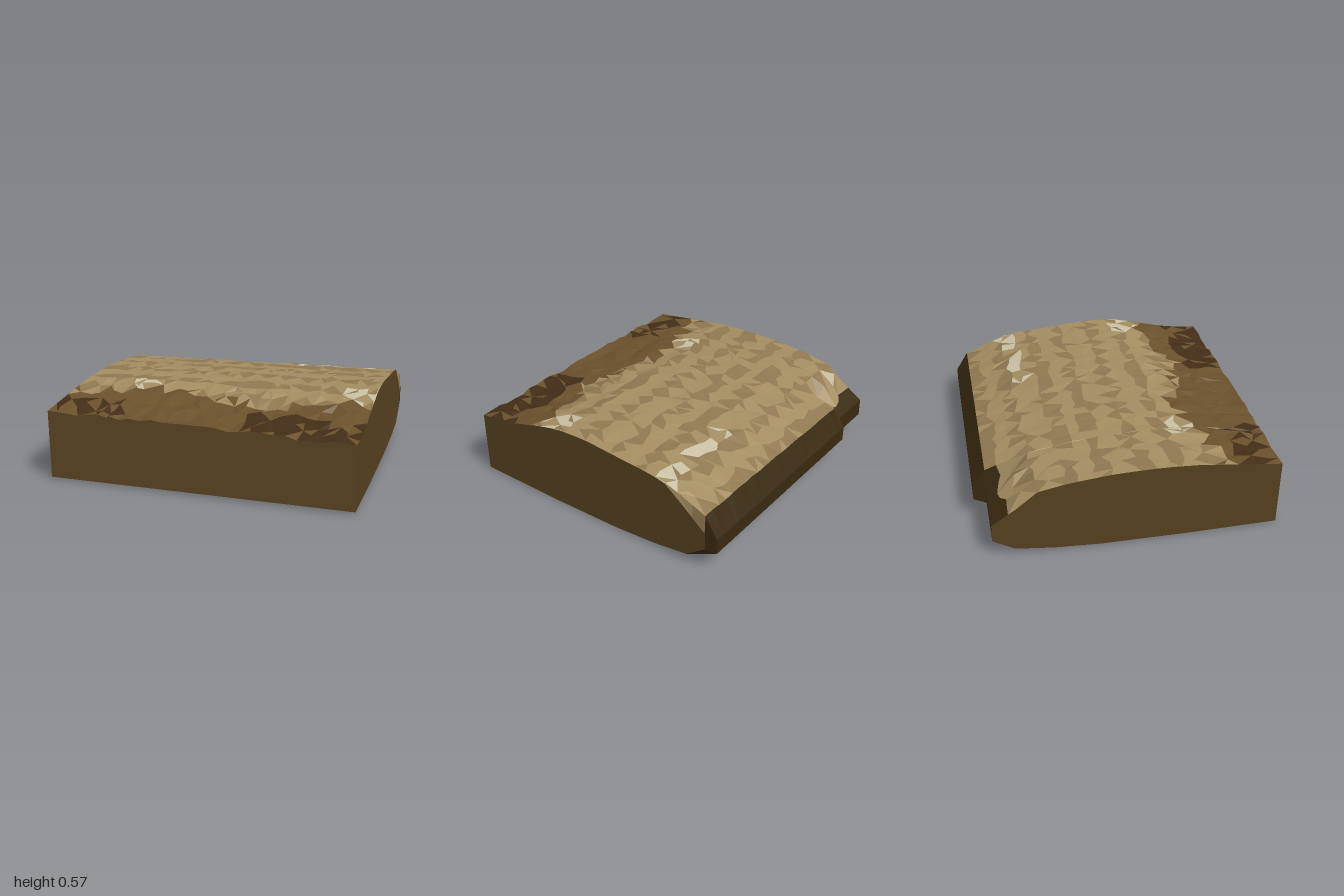
import * as THREE from 'three';

// Seeded noise in -1..1
let seed = 7;
const rnd = () => {
  seed = (seed * 16807) % 2147483647;
  return (seed / 2147483647) * 2 - 1;
};

// Piecewise linear lookup in [z, y] points with z falling
function sample(points, z) {
  for (let i = 1; i < points.length; i++) {
    const [z0, y0] = points[i - 1], [z1, y1] = points[i];
    if (z >= z1) return y0 + (y1 - y0) * Math.min(1, Math.max(0, (z0 - z) / (z0 - z1)));
  }
  return points[points.length - 1][1];
}

// Ground profiles at both ends, and the underside
const westTop = [[0.96, 0.46], [0.7, 0.49], [0.4, 0.525], [0.2, 0.535], [-0.1, 0.53], [-0.4, 0.5], [-0.6, 0.46], [-0.78, 0.4], [-0.88, 0.37]];
const eastTop = [[0.96, 0.435], [0.72, 0.46], [0.5, 0.515], [0.38, 0.548], [0.2, 0.574], [0, 0.57], [-0.25, 0.545], [-0.45, 0.53], [-0.6, 0.5], [-0.75, 0.44], [-0.88, 0.385]];
const underside = [[-0.74, 0.05], [-0.5, 0.02], [-0.2, 0.003], [0.35, 0.001], [0.96, 0.01]];
const ROWS = 20, FRONT = 0.955, CREST = -0.875, LIP = -0.96, NOTCH = -0.58;

// Closed cross-section at x: ground front to back, rim, underside back to front
function section(x, isEnd) {
  const notch = x < NOTCH - 0.001, corner = x > 0.999;
  const k = (x + 1) / 2, pts = [];
  for (let j = 0; j <= ROWS; j++) {
    let z = FRONT + (CREST - FRONT) * (j / ROWS);
    if (j > 0 && j < ROWS) z += rnd() * 0.03;
    let y = sample(westTop, z) * (1 - k) + sample(eastTop, z) * k;
    // Rougher scree in front, soft ridges on the plateau
    const rough = z > 0.35 ? 0.013 : 0.005;
    y += isEnd ? 0 : rnd() * rough + 0.003 * Math.sin(z * 28 + x * 2);
    if (notch && z < -0.7) y = Math.min(y, 0.37 + (z + 0.7) * 0.68);
    if (corner && z < -0.6) y = Math.min(y, 0.5 + (z + 0.6) * 0.86);
    const side = isEnd || j === 0 || j === ROWS || Math.abs(x - NOTCH) < 0.02;
    pts.push([x + (side ? 0 : rnd() * 0.022), Math.min(y, 0.578), z]);
  }
  const back = notch || corner ? CREST - 0.003 : LIP;
  pts.push([x, 0.25, back], [x, notch ? 0.13 : 0.15, back]);
  for (const [z, y] of underside) {
    pts.push([x, y + (z > 0.9 ? 0.007 * k : 0), Math.min(z, FRONT)]);
  }
  return pts;
}

const COLORS = {
  plateau: 0xa38c60, drySoil: 0x8f7850, paleStone: 0xc9c0a4, slope: 0x6b512c,
  darkSlope: 0x432d17, backRim: 0x38290f, frontWall: 0x5c4524, underside: 0x2e2210, sideWall: 0x55401f,
};

// Part that a ground triangle belongs to, from its middle
function groundPart(x, z) {
  const edge = 0.53 + 0.06 * Math.sin(x * 5) + rnd() * 0.05;
  if (x < NOTCH && z < -0.78) return 'backRim';
  if (z > edge) {
    const dark = (x < -0.55 && z > 0.72 && z < 0.9) || (x > 0.25 && z > 0.66);
    return dark && rnd() > -0.5 ? 'darkSlope' : 'slope';
  }
  const pale = Math.hypot(x + 0.55, z - 0.46) < 0.14 || Math.hypot(x - 0.88, z - 0.33) < 0.13
    || (x > 0.25 && Math.abs(z + 0.53 + (x - 0.3) * 0.08) < 0.05);
  if (pale && rnd() > -0.2) return 'paleStone';
  return Math.sin(z * 28) + rnd() * 0.7 > 0.4 ? 'drySoil' : 'plateau';
}

function makeMesh(name, geometry) {
  const material = new THREE.MeshStandardMaterial({ color: COLORS[name], flatShading: true });
  const mesh = new THREE.Mesh(geometry, material);
  mesh.name = name;
  return mesh;
}

export function createModel() {
  seed = 7;
  const group = new THREE.Group();
  group.name = 'terrainSlab';

  // Columns, with a sharp step at the notch and the rear corner
  const xs = [-1, -0.93, -0.86, -0.79, -0.72, -0.65, NOTCH - 0.005];
  for (let i = 0; i <= 22; i++) xs.push(NOTCH + (0.993 - NOTCH) * (i / 22));
  xs.push(1);
  const rings = xs.map((x) => section(x, Math.abs(x) > 0.99));

  // Skin between neighbouring columns, sorted into parts
  const parts = {};
  const add = (name, ...corners) => (parts[name] ??= []).push(...corners.flat());
  const n = rings[0].length;
  for (let i = 0; i < rings.length - 1; i++) {
    for (let j = 0; j < n; j++) {
      const m = (j + 1) % n;
      const a = rings[i][j], b = rings[i + 1][j], c = rings[i + 1][m], d = rings[i][m];
      const tris = (i + j) % 2 ? [[a, b, c], [a, c, d]] : [[a, b, d], [b, c, d]];
      for (const t of tris) {
        const cx = (t[0][0] + t[1][0] + t[2][0]) / 3;
        const cz = (t[0][2] + t[1][2] + t[2][2]) / 3;
        let name = 'underside';
        if (j < ROWS) name = groundPart(cx, cz);
        else if (j < ROWS + 2) name = 'backRim';
        else if (j === n - 1) name = 'frontWall';
        add(name, ...t);
      }
    }
  }
  for (const [name, positions] of Object.entries(parts)) {
    const geometry = new THREE.BufferGeometry();
    geometry.setAttribute('position', new THREE.Float32BufferAttribute(positions, 3));
    geometry.computeVertexNormals();
    group.add(makeMesh(name, geometry));
  }

  // Flat cut walls at both ends
  for (const s of [-1, 1]) {
    const ring = s < 0 ? rings[0] : rings[rings.length - 1];
    const shape = new THREE.Shape(ring.map(([, y, z]) => new THREE.Vector2(-s * z, y)));
    const geometry = new THREE.ShapeGeometry(shape);
    geometry.rotateY(s * Math.PI / 2).translate(s, 0, 0);
    group.add(makeMesh('sideWall', geometry));
  }
  return group;
}
